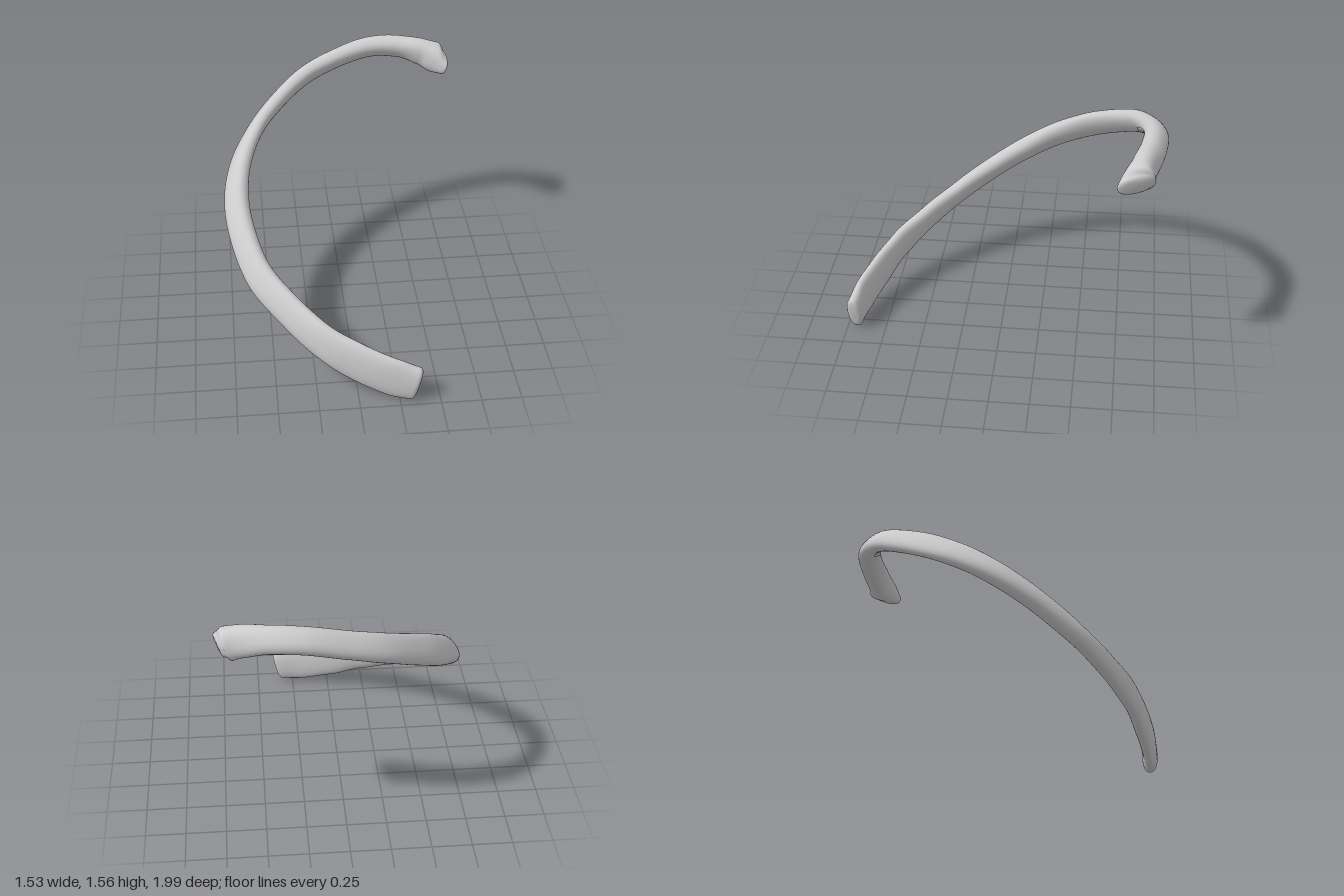
import * as THREE from 'three';

// Stations from the flat front end to the knobbed rear end:
// x, y, z of the centre, then long width, thickness, inward lean (radians)
const STATIONS = [
  [0.345, 0.13, 0.945, 0.25, 0.1, 0],
  [0.2, 0.168, 0.912, 0.285, 0.09, 0],
  [0, 0.235, 0.835, 0.275, 0.095, 0.05],
  [-0.2, 0.325, 0.73, 0.24, 0.098, 0.15],
  [-0.4, 0.445, 0.55, 0.212, 0.105, 0.33],
  [-0.57, 0.57, 0.34, 0.2, 0.112, 0.52],
  [-0.66, 0.73, 0.1, 0.188, 0.122, 0.66],
  [-0.685, 0.86, -0.1, 0.185, 0.125, 0.7],
  [-0.65, 0.99, -0.3, 0.193, 0.115, 0.68],
  [-0.54, 1.125, -0.51, 0.2, 0.102, 0.66],
  [-0.4, 1.23, -0.66, 0.19, 0.105, 0.68],
  [-0.2, 1.345, -0.81, 0.175, 0.11, 0.7],
  [0, 1.42, -0.885, 0.165, 0.115, 0.74],
  [0.25, 1.487, -0.925, 0.16, 0.125, 0.75],
  [0.45, 1.492, -0.905, 0.165, 0.13, 0.6],
  [0.6, 1.465, -0.862, 0.19, 0.14, 0.25],
  [0.68, 1.437, -0.835, 0.2, 0.175, 0.05],
  [0.722, 1.418, -0.815, 0.14, 0.175, 0],
];
const SEGMENTS = 136;
const SIDES = 32;
const UP = new THREE.Vector3(0, 1, 0);

function ribGeometry() {
  const path = new THREE.CatmullRomCurve3(STATIONS.map(s => new THREE.Vector3(s[0], s[1], s[2])));
  const last = STATIONS.length - 1;
  const positions = [];
  const index = [];

  // Section values eased between neighbouring stations
  const sectionAt = t => {
    const f = t * last;
    const i = Math.min(Math.floor(f), last - 1);
    const k = THREE.MathUtils.smoothstep(f - i, 0, 1);
    return [3, 4, 5].map(c => THREE.MathUtils.lerp(STATIONS[i][c], STATIONS[i + 1][c], k));
  };

  // One rounded cross-section, optionally shrunk and pushed out for an end cap
  const addRing = (t, scale = 1, push = 0) => {
    const T = path.getTangent(t);
    const n = new THREE.Vector3().crossVectors(T, UP).normalize();
    const b = new THREE.Vector3().crossVectors(n, T);
    const [long, thick, lean] = sectionAt(t);
    const centre = path.getPoint(t).addScaledVector(T, push);
    const skew = 0.75 * THREE.MathUtils.smoothstep(t, 0.9, 1);
    for (let j = 0; j < SIDES; j++) {
      const a = (j / SIDES) * Math.PI * 2;
      const round = v => Math.sign(v) * Math.pow(Math.abs(v), 0.88);
      const p = round(Math.cos(a)) * thick * 0.5 * scale;
      const q = round(Math.sin(a)) * long * 0.5 * scale;
      const across = p * Math.cos(lean) + q * Math.sin(lean);
      const upward = q * Math.cos(lean) - p * Math.sin(lean);
      const v = centre.clone()
        .addScaledVector(n, across)
        .addScaledVector(b, upward)
        .addScaledVector(T, across * skew);
      positions.push(v.x, v.y, v.z);
    }
  };

  // Rounded front end, the sweep, rounded rear end
  const cap = [[0.03, 0.024], [0.5, 0.023], [0.78, 0.019], [0.93, 0.01]];
  cap.forEach(([s, d]) => addRing(0, s, -d));
  for (let i = 0; i <= SEGMENTS; i++) addRing(i / SEGMENTS);
  [...cap].reverse().forEach(([s, d]) => addRing(1, s, d));

  const rings = positions.length / 3 / SIDES;
  for (let i = 0; i < rings - 1; i++) {
    for (let j = 0; j < SIDES; j++) {
      const k = (j + 1) % SIDES;
      const a = i * SIDES + j, b = i * SIDES + k;
      index.push(a, a + SIDES, b, b, a + SIDES, b + SIDES);
    }
  }
  // Close the tiny remaining hole at each end
  const end = (rings - 1) * SIDES;
  for (let j = 1; j < SIDES - 1; j++) {
    index.push(0, j, j + 1, end, end + j + 1, end + j);
  }

  const geometry = new THREE.BufferGeometry();
  geometry.setAttribute('position', new THREE.Float32BufferAttribute(positions, 3));
  geometry.setIndex(index);
  geometry.computeVertexNormals();
  return geometry;
}

export function createModel() {
  const bone = new THREE.MeshStandardMaterial({ color: 0xcccccc });
  bone.name = 'light grey bone';
  const rib = new THREE.Mesh(ribGeometry(), bone);
  rib.name = 'ribBone';
  const group = new THREE.Group();
  group.name = 'rib';
  group.add(rib);
  return group;
}
